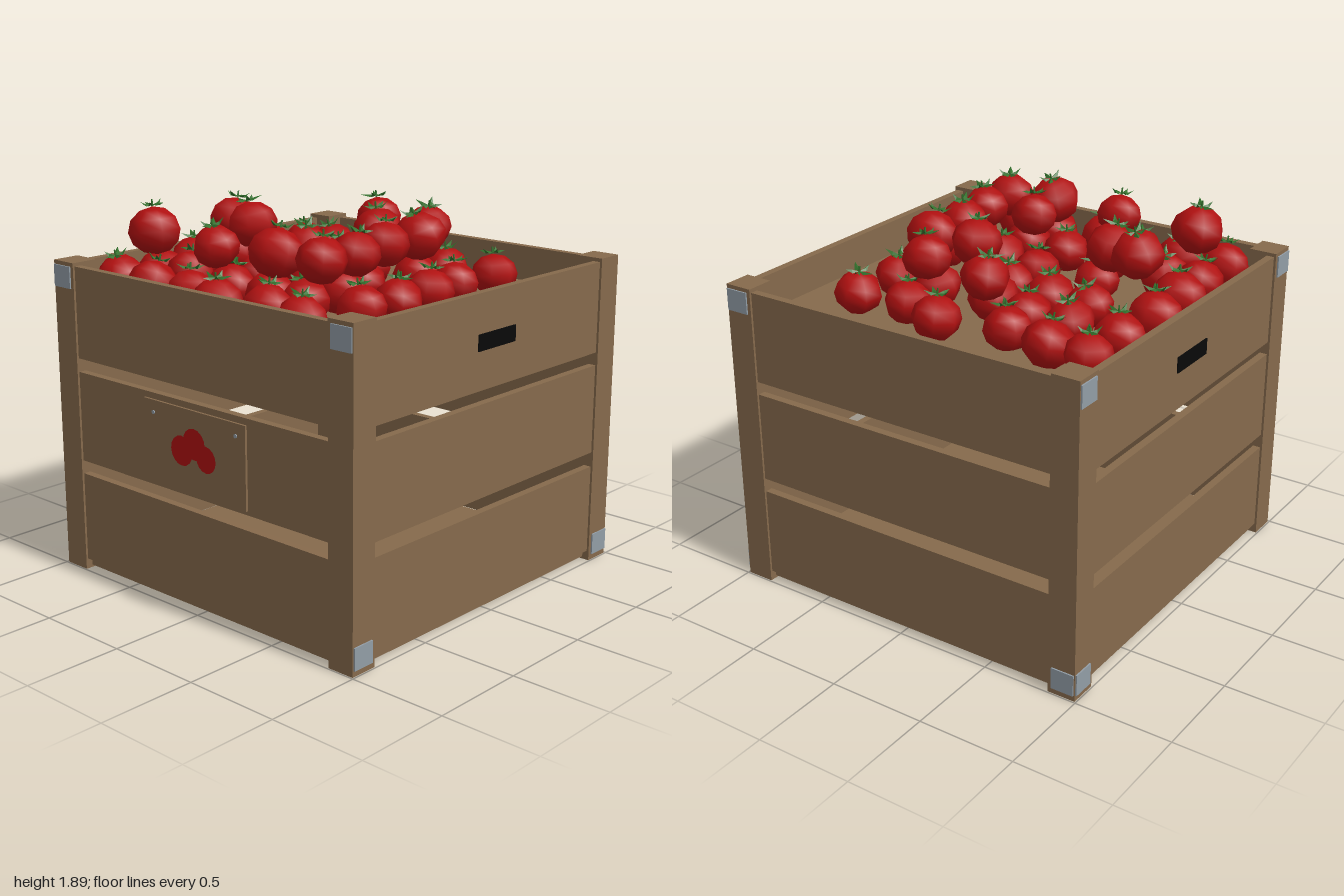
import * as THREE from 'three';

const mat = (name, color, side = THREE.FrontSide) => {
  const m = new THREE.MeshStandardMaterial({ color, side });
  m.name = name;
  return m;
};

// Tomatoes as [x, z, radius]; the lower layer rests on the shelf, the upper one on the lower
const LOWER = [
  [-.77, -.57, .12], [-.56, -.57, .128], [-.3, -.51, .12], [.045, -.6, .124], [.28, -.51, .12],
  [.56, -.54, .12], [-.78, -.32, .128], [-.5, -.29, .122], [-.29, -.33, .125], [-.04, -.25, .13],
  [.3, -.25, .122], [.54, -.25, .12], [-.8, -.03, .136], [-.46, -.06, .12], [-.25, -.08, .13],
  [.02, -.03, .122], [.2, .04, .12], [.57, -.02, .122], [-.77, .25, .138], [-.31, .245, .118],
  [.01, .2, .12], [.28, .28, .125], [.59, .23, .12], [-.75, .51, .122], [-.56, .48, .128],
  [-.21, .53, .122], [.04, .52, .122], [.28, .53, .122], [.57, .47, .122], [-.74, .78, .128],
  [-.5, .78, .13], [-.27, .75, .12], [0, .83, .125], [.25, .75, .124], [.51, .8, .12],
];
const UPPER = [
  [-.16, -.49, .12], [.22, -.43, .122], [.38, -.17, .132], [.14, -.14, .13], [.38, .09, .124],
  [-.6, .14, .134], [-.45, .155, .132], [.43, .35, .12], [.15, .385, .12], [-.67, .61, .135],
  [-.2, .64, .116], [.18, .62, .134], [.43, .58, .124],
];

// Star of five folded leaves that curl up at the tips
function calyxGeometry() {
  const pos = [];
  for (let i = 0; i < 5; i++) {
    const a = i / 5 * Math.PI * 2, len = .068 + .012 * Math.sin(i * 4);
    const p = (r, w, y) => [r * Math.cos(a) - w * Math.sin(a), y, r * Math.sin(a) + w * Math.cos(a)];
    const base = p(0, 0, .008), mid = p(.036, 0, .016), tip = p(len, 0, .026 + .02 * Math.sin(i * 3));
    const l = p(.032, -.015, .003), r = p(.032, .015, .003);
    pos.push(...base, ...mid, ...l, ...base, ...r, ...mid, ...mid, ...tip, ...l, ...mid, ...r, ...tip);
  }
  const g = new THREE.BufferGeometry();
  g.setAttribute('position', new THREE.Float32BufferAttribute(pos, 3));
  g.computeVertexNormals();
  return g;
}

export function createModel() {
  const model = new THREE.Group();
  model.name = 'tomatoCrate';
  const wood = mat('wood', 0x866a4c);
  const red = mat('tomatoRed', 0xb01010);
  const green = mat('leafGreen', 0x33702c, THREE.DoubleSide);
  const metal = mat('metal', 0x929da6);
  const black = mat('handleBlack', 0x090909);

  let seed = 7;
  const rand = () => (seed = (seed * 16807) % 2147483647) / 2147483647;

  const add = (parent, name, geo, material, x, y, z) => {
    const m = new THREE.Mesh(geo, material);
    m.name = name;
    m.position.set(x, y, z);
    parent.add(m);
    return m;
  };
  const box = (parent, name, w, h, d, material, x, y, z) =>
    add(parent, name, new THREE.BoxGeometry(w, h, d), material, x, y, z);

  // Corner posts
  for (const x of [-1, 1]) for (const z of [-1, 1])
    box(model, 'cornerPost', .145, 1.6, .145, wood, x * .92, .8, z * .92);

  // Floor and the raised shelf carrying the tomatoes
  box(model, 'floor', 1.91, .03, 1.91, wood, 0, .028, 0);
  box(model, 'shelf', 1.89, .03, 1.89, wood, 0, 1.385, 0);

  // Four sides, each built facing +z: three slats and metal corner plates [x sign, y]
  const sides = [
    { name: 'frontSide', turn: 0, plates: [[-1, 1.525], [1, 1.525]] },
    { name: 'rightSide', turn: 1, plates: [[-1, .085], [1, .085]], handle: true },
    { name: 'backSide', turn: 2, plates: [[-1, 1.525], [1, .085]] },
    { name: 'leftSide', turn: 3, plates: [[-1, 1.525], [1, 1.525], [-1, .085]], handle: true },
  ];
  for (const s of sides) {
    const side = new THREE.Group();
    side.name = s.name;
    side.rotation.y = s.turn * Math.PI / 2;
    for (const y of [.283, .82, 1.35]) {
      const slat = box(side, 'slat', 1.7, .463, .04, wood, 0, y, .961);
      slat.rotation.z = (rand() - .5) * .006;
    }
    for (const [x, y] of s.plates)
      box(side, 'cornerPlate', .12, .11, .008, metal, x * .927, y, .996);
    if (s.handle) box(side, 'handleSlot', .28, .08, .008, black, .01, 1.35, .983);
    model.add(side);
  }

  // Sign board with nails and a painted emblem
  const sign = new THREE.Group();
  sign.name = 'sign';
  box(sign, 'signBoard', .69, .41, .014, wood, -.005, .815, .986);
  for (const x of [-.28, .28]) {
    const nail = add(sign, 'nail', new THREE.CylinderGeometry(.01, .01, .006, 8), metal, x, .96, .995);
    nail.rotation.x = Math.PI / 2;
  }
  for (const [x, y, r] of [[0, .86, .075], [-.085, .81, .074], [.08, .8, .066], [0, .82, .04]])
    add(sign, 'paintedTomato', new THREE.CircleGeometry(r, 16), red, x, y, .996);
  model.add(sign);

  // Tomatoes: coarse squashed spheres with a leafy calyx and short stem
  const body = new THREE.SphereGeometry(1, 7, 6);
  const calyx = calyxGeometry();
  const stem = new THREE.CylinderGeometry(.004, .006, .035, 5);
  const tomato = (x, y, z, r) => {
    const t = new THREE.Group();
    t.name = 'tomato';
    t.position.set(x, y, z);
    t.rotation.set((rand() - .5) * .4, rand() * 6.28, (rand() - .5) * .4);
    add(t, 'tomatoBody', body, red, 0, 0, 0).scale.set(r, r * .88, r);
    add(t, 'calyx', calyx, green, 0, r * .88, 0);
    add(t, 'stem', stem, green, 0, r * .88 + .018, 0);
    model.add(t);
  };
  for (const [x, z, r] of LOWER) tomato(x, 1.4 + r * .88, z, r);
  for (const [x, z, r] of UPPER) tomato(x, 1.615 + r * .88, z, r);

  return model;
}
